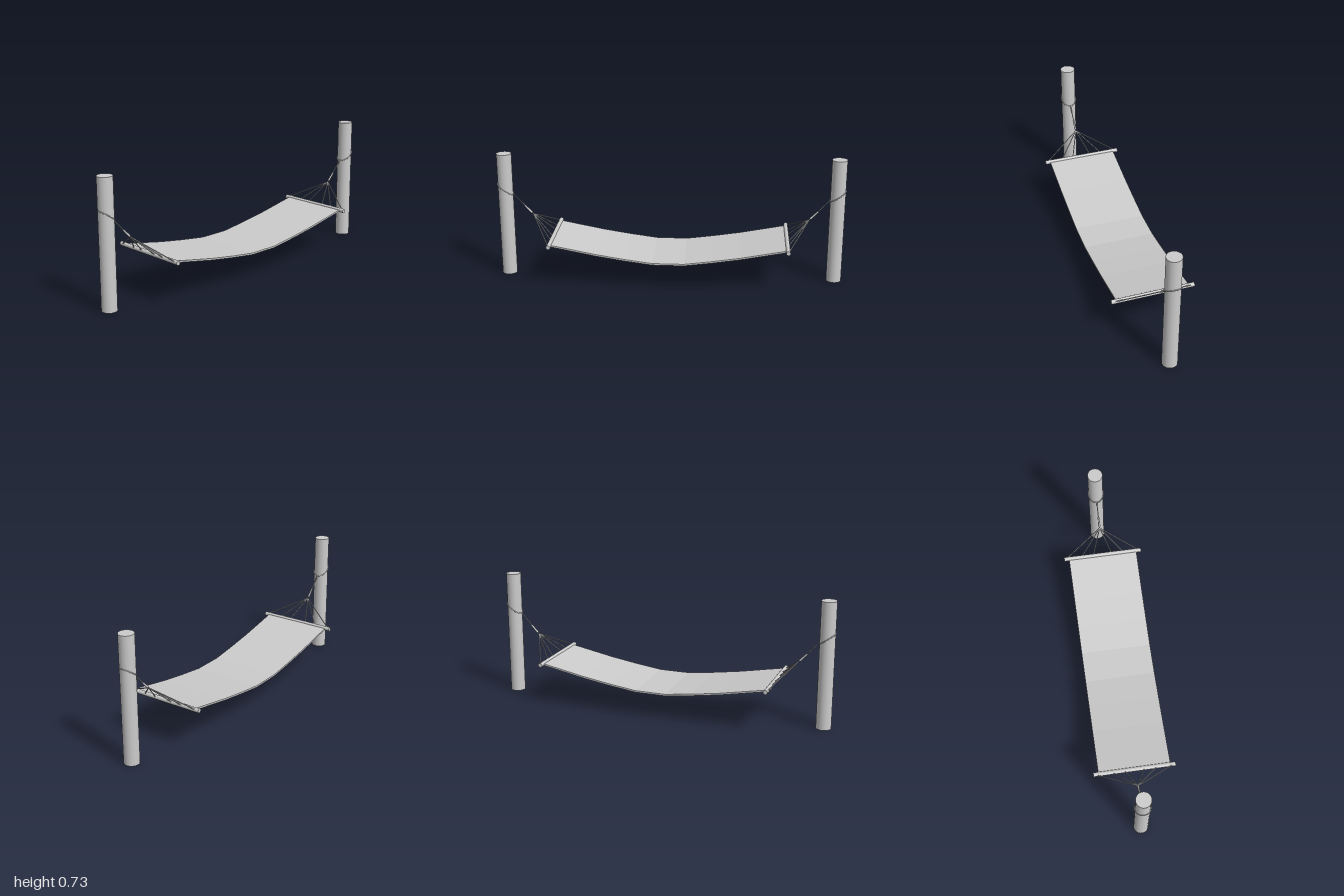
import * as THREE from 'three';

const material = new THREE.MeshStandardMaterial({ color: 0xcccccc });
const V = (x, y, z = 0) => new THREE.Vector3(x, y, z);

function add(parent, name, geometry) {
  const mesh = new THREE.Mesh(geometry, material);
  mesh.name = name;
  parent.add(mesh);
  return mesh;
}

// Straight round piece between two points
function rod(parent, name, a, b, radius, sides = 10, endRadius = radius) {
  const mesh = add(parent, name, new THREE.CylinderGeometry(endRadius, radius, a.distanceTo(b), sides));
  mesh.position.copy(a).add(b).multiplyScalar(0.5);
  mesh.quaternion.setFromUnitVectors(V(0, 1, 0), b.clone().sub(a).normalize());
  return mesh;
}

// Post, rope, cords and spreader bar for one end (built on +x)
function buildEnd() {
  const end = new THREE.Group();
  const postX = 0.953;

  rod(end, 'post', V(postX, 0, 0), V(postX, 0.73, 0), 0.043, 40);
  rod(end, 'spreaderBar', V(0.675, 0.251, -0.235), V(0.675, 0.251, 0.235), 0.0125, 16);

  // Slanted loop around the post
  const loop = [];
  for (let i = 0; i < 16; i++) {
    const a = (i / 16) * Math.PI * 2;
    loop.push(V(postX + 0.045 * Math.cos(a), 0.518 + 0.031 * Math.cos(a), 0.045 * Math.sin(a)));
  }
  add(end, 'postLoop', new THREE.TubeGeometry(new THREE.CatmullRomCurve3(loop, true), 48, 0.0028, 8, true));

  // Hanging rope and the thicker binding where the cords gather
  const gather = V(0.797, 0.368);
  rod(end, 'hangingRope', gather, V(0.908, 0.487), 0.0028);
  rod(end, 'binding', V(0.804, 0.375), V(0.846, 0.419), 0.0065, 12, 0.005);

  // Fan of cords down to the bar
  for (const z of [0.22, 0.126, 0.056]) {
    for (const side of [-1, 1]) rod(end, 'fanCord', V(0.678, 0.252, side * z), gather, 0.003, 8);
  }
  return end;
}

// Sagging cloth: a thin strip in profile, extruded across the width
function clothGeometry() {
  const half = [[0.09, 0.154], [0.25, 0.175], [0.41, 0.2], [0.675, 0.251]];
  const line = [...half.map(([x, y]) => [-x, y]).reverse(), ...half];
  const t = 0.005;
  const outline = [
    ...line.map(([x, y]) => new THREE.Vector2(x, y - t)),
    ...line.slice().reverse().map(([x, y]) => new THREE.Vector2(x, y + t)),
  ];
  const geometry = new THREE.ExtrudeGeometry(new THREE.Shape(outline), { depth: 0.412, bevelEnabled: false });
  return geometry.translate(0, 0, -0.206);
}

export function createModel() {
  const model = new THREE.Group();
  model.name = 'hammock';
  add(model, 'cloth', clothGeometry());

  const leftEnd = buildEnd();
  leftEnd.name = 'leftEnd';
  const rightEnd = buildEnd();
  rightEnd.name = 'rightEnd';
  rightEnd.rotation.y = Math.PI;
  model.add(leftEnd, rightEnd);
  return model;
}
